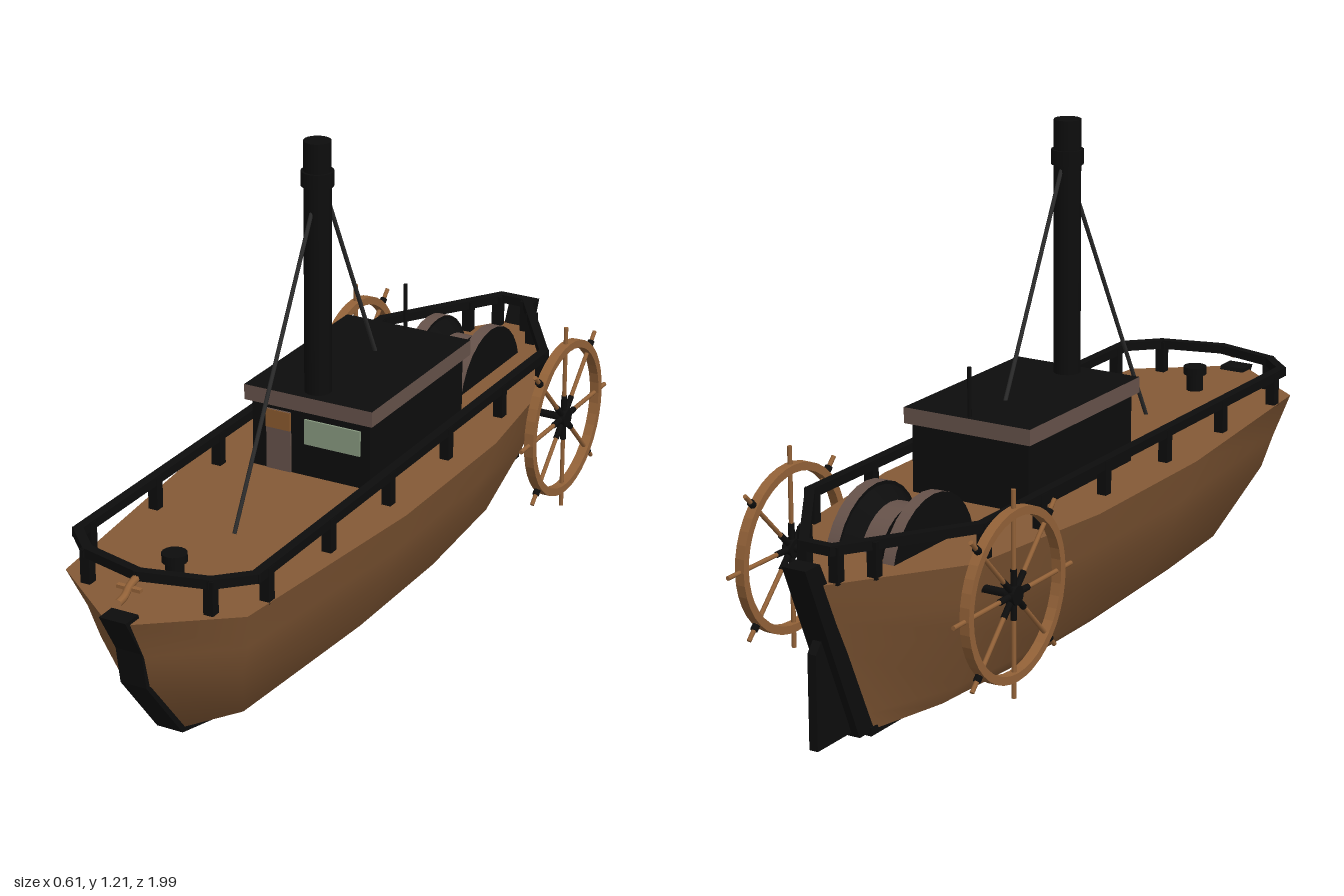
import * as THREE from 'three';

const mat = (name, color, side = THREE.FrontSide) => {
  const m = new THREE.MeshStandardMaterial({ color, side });
  m.name = name;
  return m;
};
const V = (x, y, z) => new THREE.Vector3(x, y, z);

export function createModel() {
  const model = new THREE.Group();
  model.name = 'steamBoat';
  const wood = mat('hull wood', 0x855a36);
  const wheelWood = mat('wheel wood', 0x936238);
  const black = mat('black iron', 0x0d0d0d);
  const taupe = mat('taupe trim', 0x66524a);
  const glass = mat('window glass', 0x87997f);
  const amber = mat('door pane', 0x8a5a2e);
  const ropeMat = mat('rope', 0x2b2b2b);

  const add = (name, geo, material, x = 0, y = 0, z = 0, parent = model) => {
    const mesh = new THREE.Mesh(geo, material);
    mesh.name = name;
    mesh.position.set(x, y, z);
    parent.add(mesh);
    return mesh;
  };
  const box = (name, m, w, h, d, x, y, z, parent) => add(name, new THREE.BoxGeometry(w, h, d), m, x, y, z, parent);
  const cyl = (name, m, r, h, x, y, z, parent, seg = 16) =>
    add(name, new THREE.CylinderGeometry(r, r, h, seg), m, x, y, z, parent);
  // Round bar between two points
  const rod = (name, m, a, b, r, parent, seg = 8) => {
    const mid = a.clone().add(b).multiplyScalar(0.5);
    const mesh = cyl(name, m, r, a.distanceTo(b), mid.x, mid.y, mid.z, parent, seg);
    mesh.quaternion.setFromUnitVectors(V(0, 1, 0), b.clone().sub(a).normalize());
    return mesh;
  };
  // Side profile of [z, y] points given a thickness along x
  const plate = (name, m, pts, width) => {
    const shape = new THREE.Shape(pts.map(([z, y]) => new THREE.Vector2(-z, y)));
    const geo = new THREE.ExtrudeGeometry(shape, { depth: width, bevelEnabled: false });
    geo.translate(0, 0, -width / 2).rotateY(Math.PI / 2);
    return add(name, geo, m);
  };

  // Hull: deck outline shrunk through levels of [y, width scale, bow z, stern z]
  const outline = [[0.03, 0.975], [0.23, 0.82], [0.29, 0.22], [0.29, -0.23], [0.235, -0.65], [0.035, -0.935]];
  const levels = [
    [0.4, 1, 0.975, -0.935], [0.3, 0.89, 0.925, -0.89], [0.22, 0.79, 0.905, -0.85],
    [0.055, 0.48, 0.77, -0.775], [0.012, 0.33, 0.58, -0.755],
  ];
  const rings = levels.map(([y, s, bow, stern]) => {
    const half = outline.map(([x, z], i) => {
      const t = (z + 0.935) / 1.91;
      return V(i === 0 || i === 5 ? 0.03 : x * s, y, stern + t * (bow - stern));
    });
    return [...half, ...half.map((p) => V(-p.x, p.y, p.z)).reverse()];
  });
  const n = rings[0].length;
  const index = [];
  for (let l = 0; l < rings.length - 1; l++) {
    for (let i = 0; i < n; i++) {
      const a = l * n + i, b = l * n + (i + 1) % n;
      index.push(a, a + n, b + n, a, b + n, b);
    }
  }
  const hull = new THREE.BufferGeometry().setFromPoints(rings.flat());
  hull.setIndex(index);
  hull.computeVertexNormals();
  add('hull', hull, wood);
  const flat = (ring, sign) => new THREE.ShapeGeometry(new THREE.Shape(
    ring.map((p) => new THREE.Vector2(p.x, sign * p.z)))).rotateX(sign * Math.PI / 2);
  add('deck', flat(rings[0], -1), wood, 0, 0.4, 0);
  add('hullBottom', flat(rings[4], 1), wood, 0, 0.012, 0);

  // Keel, stem, stern post and rudder
  plate('keelAndStem', black, [
    [0.94, 0.41], [0.99, 0.41], [0.93, 0.31], [0.915, 0.22], [0.775, 0.045], [0.58, 0],
    [-0.77, 0], [-0.77, 0.02], [0.57, 0.02], [0.75, 0.06], [0.88, 0.23], [0.9, 0.31],
  ], 0.066);
  plate('sternPost', black, [[-0.945, 0.45], [-0.998, 0.45], [-0.81, 0.01], [-0.74, 0.01], [-0.92, 0.4]], 0.06);
  plate('rudder', black, [[-0.89, 0.3], [-0.94, 0.24], [-0.94, 0.02], [-0.76, 0.02]], 0.022);
  // Small curved bow fitting
  add('bowFitting', new THREE.TubeGeometry(new THREE.CatmullRomCurve3([
    V(0, 0.47, 0.88), V(0, 0.46, 0.92), V(0, 0.445, 0.94), V(0, 0.44, 0.965)]), 10, 0.009, 8), wheelWood);
  box('bowFittingBar', wheelWood, 0.06, 0.008, 0.012, 0, 0.456, 0.92);

  // Deckhouse with roof, door and front window
  box('deckhouse', black, 0.31, 0.166, 0.46, 0, 0.483, -0.085);
  const roof = new THREE.BoxGeometry(0.336, 0.038, 0.49);
  add('roof', roof, [taupe, taupe, black, taupe, taupe, taupe], 0, 0.585, -0.085);
  box('door', taupe, 0.064, 0.15, 0.006, -0.084, 0.476, 0.147);
  box('doorPane', amber, 0.064, 0.045, 0.006, -0.084, 0.528, 0.149);
  box('frontWindow', glass, 0.146, 0.062, 0.006, 0.058, 0.512, 0.147);
  cyl('roofPole', black, 0.005, 0.16, 0, 0.64, -0.315, model, 8);

  // Funnel and stays
  cyl('funnel', black, 0.032, 0.62, 0, 0.9, 0.11, model, 20);
  cyl('funnelCollar', black, 0.038, 0.035, 0, 1.122, 0.11, model, 20);
  rod('foreStay', ropeMat, V(0, 1.07, 0.125), V(0, 0.4, 0.49), 0.005);
  rod('aftStay', ropeMat, V(0, 1.1, 0.085), V(0, 0.6, -0.165), 0.005);

  // Mooring bollard
  cyl('bollard', black, 0.021, 0.06, 0, 0.43, 0.74);
  cyl('bollardCap', black, 0.029, 0.02, 0, 0.452, 0.74);

  // Railing, mirrored on both sides
  const rail = [[0, 0.885], [0.155, 0.845], [0.225, 0.775], [0.225, -0.62], [0.035, -0.91]];
  const posts = [[0.155, 0.845], [0.225, 0.73], [0.225, 0.46], [0.225, 0.185], [0.225, -0.1],
    [0.225, -0.38], [0.225, -0.61], [0.09, -0.83], [0.04, -0.9]];
  for (const s of [1, -1]) {
    for (let i = 0; i < rail.length - 1; i++) {
      const [x0, z0] = rail[i], [x1, z1] = rail[i + 1];
      const bar = box('railBar', black, 0.022, 0.022, Math.hypot(x1 - x0, z1 - z0) + 0.014,
        s * (x0 + x1) / 2, 0.473, (z0 + z1) / 2);
      bar.rotation.y = Math.atan2(s * (x1 - x0), z1 - z0);
    }
    for (const [x, z] of posts) box('railPost', black, 0.024, 0.085, 0.024, s * x, 0.438, z);
  }
  box('sternRail', black, 0.08, 0.022, 0.022, 0, 0.473, -0.91);

  // Winch drum on the aft deck
  const winch = new THREE.Group();
  winch.name = 'winch';
  winch.position.set(0, 0.355, -0.6);
  model.add(winch);
  cyl('drum', taupe, 0.125, 0.09, 0, 0, 0, winch, 28).rotation.z = Math.PI / 2;
  for (const s of [1, -1]) {
    const flange = add('flange', new THREE.CylinderGeometry(0.163, 0.163, 0.03, 28),
      [taupe, black, black], s * 0.074, 0, 0, winch);
    flange.rotation.z = Math.PI / 2;
    const cone = add('flangeCone', new THREE.CylinderGeometry(0.155, 0.125, 0.034, 28, 1, true),
      black, s * 0.042, 0, 0, winch);
    cone.rotation.z = -s * Math.PI / 2;
  }

  // Spoked wheels on both sides of the stern
  const ringShape = new THREE.Shape().absarc(0, 0, 0.197, 0, Math.PI * 2);
  ringShape.holes.push(new THREE.Path().absarc(0, 0, 0.178, 0, Math.PI * 2));
  const rimGeo = new THREE.ExtrudeGeometry(ringShape, { depth: 0.024, bevelEnabled: false, curveSegments: 20 });
  rimGeo.translate(0, 0, -0.012).rotateY(Math.PI / 2);
  for (const s of [1, -1]) {
    const wheel = new THREE.Group();
    wheel.name = s > 0 ? 'leftWheel' : 'rightWheel';
    wheel.position.set(s * 0.293, 0.325, -0.6);
    model.add(wheel);
    add('rim', rimGeo, wheelWood, 0, 0, 0, wheel);
    rod('axle', black, V(-s * 0.12, 0, 0), V(s * 0.01, 0, 0), 0.01, wheel);
    rod('hub', black, V(-0.012, 0, 0), V(0.012, 0, 0), 0.022, wheel, 16);
    for (let i = 0; i < 8; i++) {
      const a = i * Math.PI / 4;
      const at = (r) => V(0, r * Math.cos(a), r * Math.sin(a));
      rod('spoke', wheelWood, at(0.015), at(0.239), 0.0055, wheel);
      rod('spokeSocket', black, at(0.015), at(0.058), 0.0075, wheel);
      if (i % 2) rod('spokeClip', black, at(0.198), at(0.212), 0.009, wheel);
    }
  }
  return model;
}
